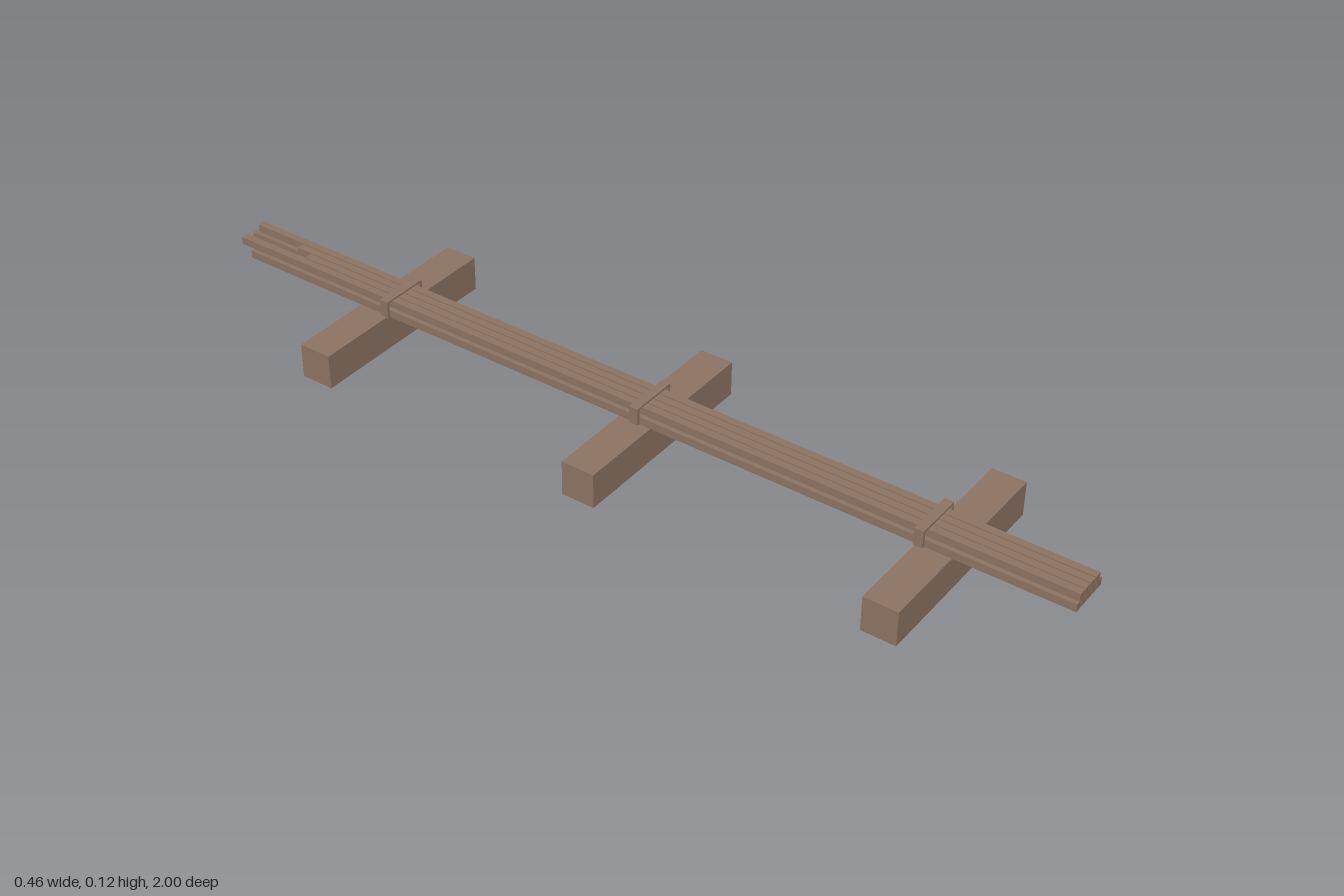
import * as THREE from 'three';

export function createModel() {
  const model = new THREE.Group();
  model.name = 'barStackOnBeams';
  const wood = new THREE.MeshStandardMaterial({ color: 0x8b7260, flatShading: true });

  // Box given by its min and max corners
  const box = (name, [x0, y0, z0], [x1, y1, z1], parent = model) => {
    const mesh = new THREE.Mesh(new THREE.BoxGeometry(x1 - x0, y1 - y0, z1 - z0), wood);
    mesh.position.set((x0 + x1) / 2, (y0 + y1) / 2, (z0 + z1) / 2);
    mesh.name = name;
    parent.add(mesh);
  };

  // Support beams lying across the stack
  const beamTop = 0.077;
  for (const z of [0.717, 0.056, -0.605]) {
    box('supportBeam', [-0.23, 0, z - 0.037], [0.23, beamTop, z + 0.037]);
  }

  // Long bars: five below, four nested above, flush in front, uneven behind
  const pitch = 0.0192, half = 0.0083, frontZ = 1;
  const rows = [
    { name: 'lowerBar', y0: beamTop, y1: 0.094, backs: [-0.95, -0.96, -0.86, -1, -0.92] },
    { name: 'upperBar', y0: 0.0943, y1: 0.111, backs: [-0.985, -0.82, -0.86, -0.99] },
  ];
  for (const { name, y0, y1, backs } of rows) {
    backs.forEach((back, i) => {
      const x = (i - (backs.length - 1) / 2) * pitch - 0.001;
      box(name, [x - half, y0, back], [x + half, y1, frontZ]);
    });
  }

  // Straps: a top plate with a leg on each side of the bars
  for (const z of [0.687, 0.057, -0.573]) {
    const strap = new THREE.Group();
    strap.name = 'strap';
    const z0 = z - 0.01, z1 = z + 0.01;
    box('strapTop', [-0.054, 0.111, z0], [0.054, 0.115, z1], strap);
    for (const s of [-1, 1]) {
      box('strapLeg', [s * 0.051 - 0.003, beamTop, z0], [s * 0.051 + 0.003, 0.111, z1], strap);
    }
    model.add(strap);
  }

  return model;
}
